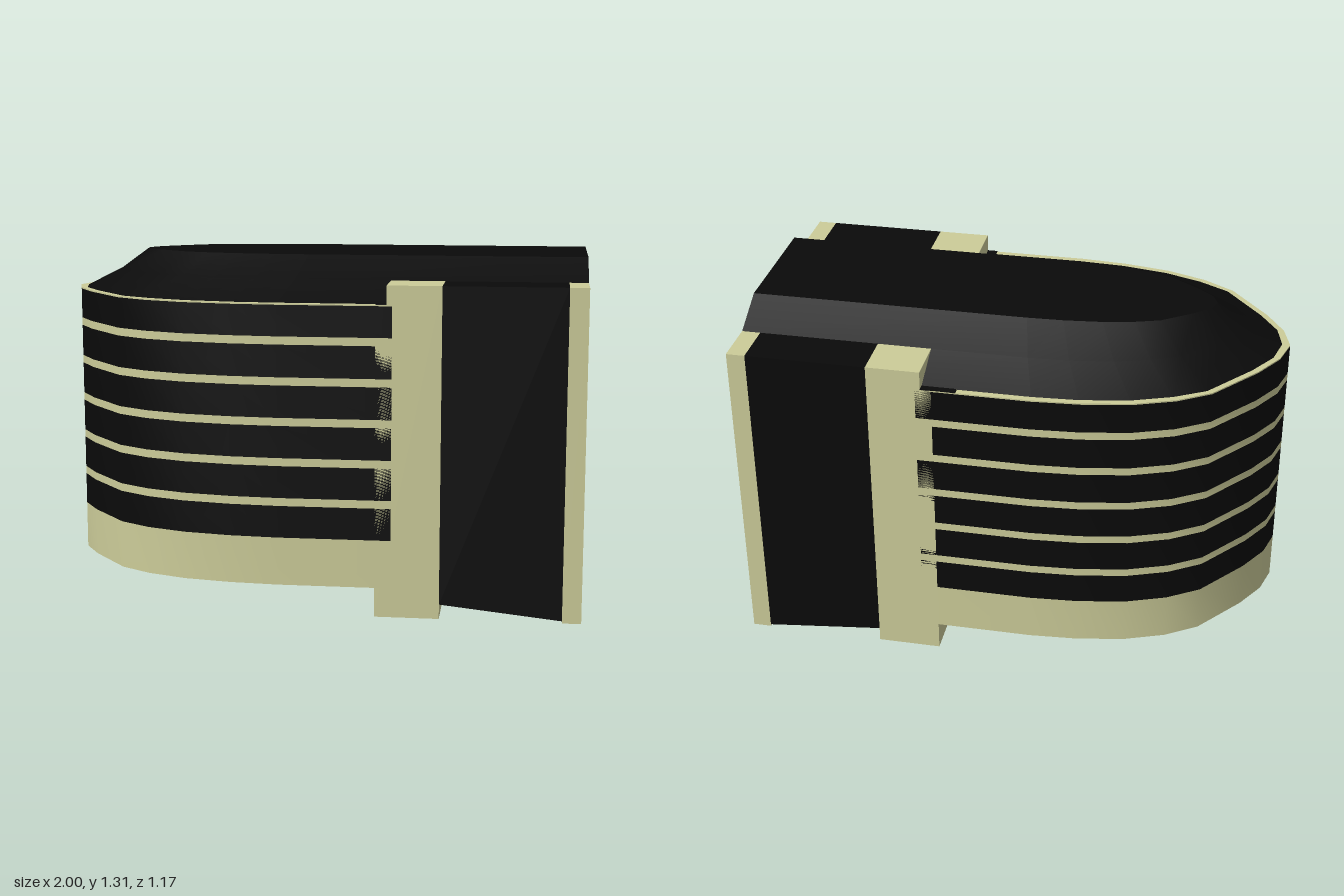
import * as THREE from 'three';
import { toCreasedNormals } from 'three/addons/utils/BufferGeometryUtils.js';

const stone = new THREE.MeshStandardMaterial({ color: 0xcccc99 });
const glass = new THREE.MeshStandardMaterial({ color: 0x0a0a0a });
const HALF = 0.585; // half width of the building

// Half plan of the rounded wing, from the nose back to the pier
const wingHalf = [[-1, 0], [-0.97, 0.11], [-0.9, 0.225], [-0.75, 0.41], [-0.63, 0.485],
  [-0.48, 0.54], [-0.3, 0.572], [-0.12, HALF], [0.3, HALF]];
const rimHalf = [[-0.97, 0], [-0.945, 0.11], [-0.875, 0.22], [-0.73, 0.4], [-0.615, 0.465],
  [-0.47, 0.518], [-0.29, 0.55], [-0.12, 0.56], [0.3, 0.56]];

// Closed plan, running from the far corner round the nose to the near corner
const mirrored = half => [...half.slice(1).reverse().map(([x, z]) => [x, -z]), ...half];
const toPoints = pts => pts.map(([x, y]) => new THREE.Vector2(x, y));

export function createModel() {
  const model = new THREE.Group();

  const add = (name, geometry, material) => {
    const mesh = new THREE.Mesh(geometry, material);
    mesh.name = name;
    model.add(mesh);
    return mesh;
  };

  // Horizontal slab with a plan outline, between two heights
  const storey = (name, y0, y1, material, hole) => {
    const shape = new THREE.Shape(toPoints(mirrored(wingHalf)));
    if (hole) shape.holes.push(new THREE.Path(toPoints(mirrored(hole))));
    const g = new THREE.ExtrudeGeometry(shape, { depth: y1 - y0, bevelEnabled: false });
    g.rotateX(-Math.PI / 2).translate(0, y0, 0);
    add(name, toCreasedNormals(g, 0.6), material);
  };

  // Side profile carried across the full width
  const across = (name, pts, material) => {
    const g = new THREE.ExtrudeGeometry(new THREE.Shape(toPoints(pts)), { depth: HALF * 2, bevelEnabled: false });
    add(name, g.translate(0, 0, -HALF), material);
  };

  // Rounded wing: base, then alternating window bands and floor bands
  storey('wingBase', 0.11, 0.29, stone);
  for (let i = 0; i < 6; i++) {
    const y = 0.29 + i * 0.15;
    storey('windowBand', y, i < 5 ? y + 0.12 : 1.155, glass);
    if (i < 5) storey('floorBand', y + 0.12, y + 0.15, stone);
  }
  storey('roofRim', 1.155, 1.16, stone, rimHalf);

  // Dark strips closing the rim beside the pier
  for (const [x0, side] of [[0.15, -1], [0.24, 1]]) {
    const strip = add('rimEnd', new THREE.BoxGeometry(0.28 - x0, 0.012, 0.025), glass);
    strip.position.set((x0 + 0.28) / 2, 1.157, side * (HALF - 0.0125));
  }

  // Stepped pier, dark rear block with a sloping underside
  across('pier', [[0.24, 0], [0.48, 0], [0.48, 1.23], [0.28, 1.23], [0.28, 1.16], [0.24, 1.16]], stone);
  across('rearBlock', [[0.48, 0.055], [0.93, 0.008], [0.93, 1.23], [0.48, 1.23]], glass);

  // End wall with a tall window opening
  const wall = new THREE.Shape(toPoints([[-HALF, 0], [HALF, 0], [HALF, 1.23], [-HALF, 1.23]]));
  wall.holes.push(new THREE.Path(toPoints([[-0.135, 0.255], [-0.135, 0.86], [0.135, 0.86], [0.135, 0.255]])));
  const wallGeometry = new THREE.ExtrudeGeometry(wall, { depth: 0.07, bevelEnabled: false });
  add('endWall', wallGeometry.rotateY(Math.PI / 2).translate(0.93, 0, 0), stone);

  add('roof', roofGeometry(), glass);
  return model;
}

// Roof lofted through three shrinking outlines, closed by a flat top
function roofGeometry() {
  const levels = [
    { y: 1.16, nose: -0.97, half: 0.56, end: 0.95 },
    { y: 1.23, nose: -0.83, half: 0.405, end: 1 },
    { y: 1.31, nose: -0.72, half: 0.25, end: 1 },
  ];
  const positions = [], index = [];
  const n = rimHalf.length * 2 - 1;
  for (const { y, nose, half, end } of levels) {
    const outline = rimHalf.map(([x, z], i) => [
      i === rimHalf.length - 1 ? end : 0.24 + (x - 0.24) * (nose - 0.24) / (-0.97 - 0.24),
      z * half / 0.56,
    ]);
    for (const [x, z] of mirrored(outline)) positions.push(x, y, z);
  }
  for (let l = 0; l < 2; l++) {
    for (let i = 0; i < n; i++) {
      const a = l * n + i, b = l * n + (i + 1) % n;
      index.push(a, b, b + n, a, b + n, a + n);
    }
  }
  for (let i = 1; i < n - 1; i++) index.push(2 * n, 2 * n + i, 2 * n + i + 1);
  const g = new THREE.BufferGeometry();
  g.setAttribute('position', new THREE.Float32BufferAttribute(positions, 3));
  g.setIndex(index);
  return toCreasedNormals(g, 0.4);
}
